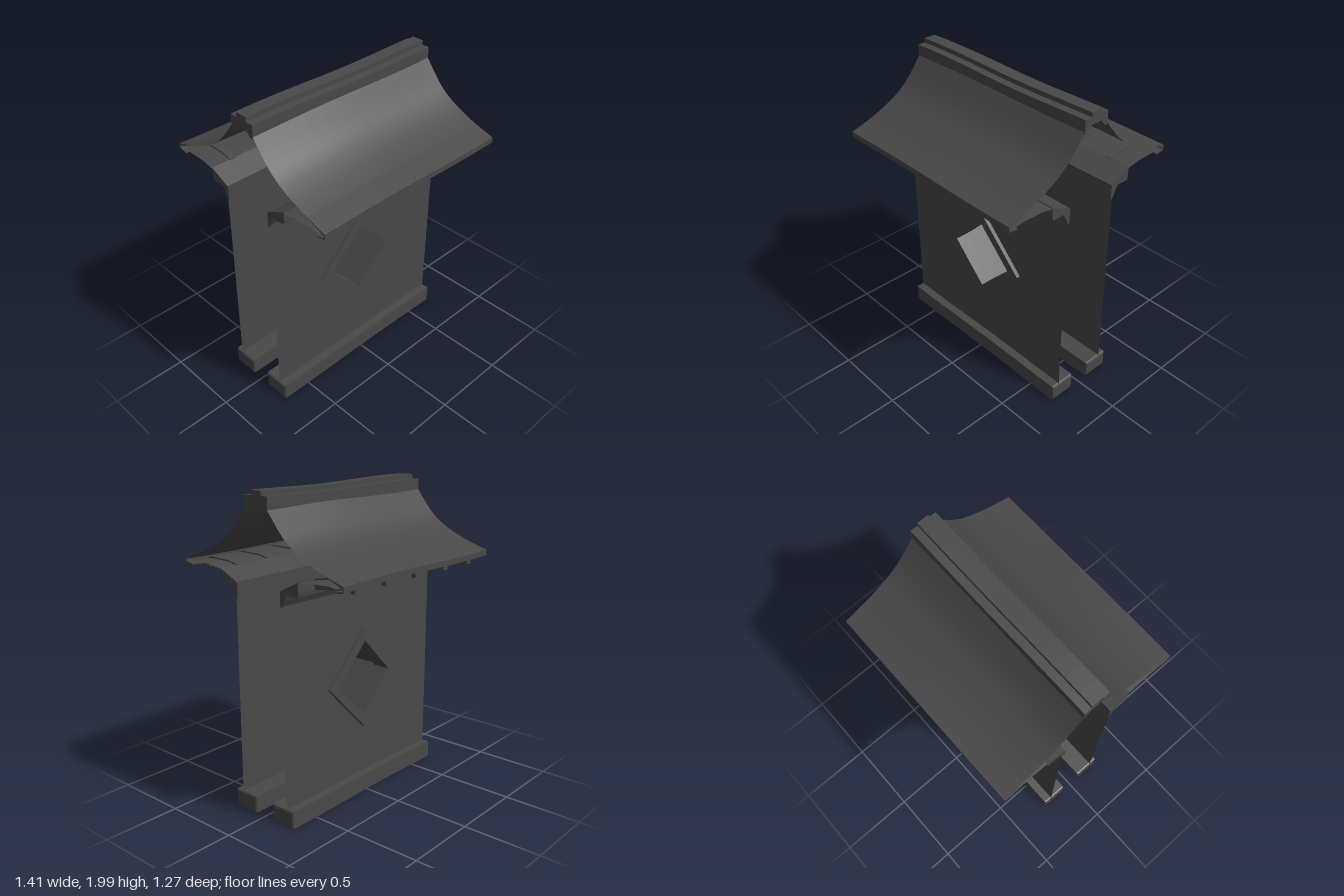
import * as THREE from 'three';

const WIDTH = 1.41;
const CY = 0.775; // height of the window centre
const mat = new THREE.MeshStandardMaterial({ color: 0x484848, flatShading: true });
const sheetMat = new THREE.MeshStandardMaterial({ color: 0x484848, side: THREE.DoubleSide });

function add(parent, name, geometry, material = mat) {
  const mesh = new THREE.Mesh(geometry, material);
  mesh.name = name;
  parent.add(mesh);
  return mesh;
}

// Slight hand-made sag along the length
function sag(geometry, amount, phase = 0) {
  const p = geometry.attributes.position;
  for (let i = 0; i < p.count; i++) {
    p.setY(i, p.getY(i) + amount * Math.sin(p.getX(i) * 5.2 + phase));
  }
  geometry.computeVertexNormals();
  return geometry;
}

// Solid bar along x from a [z, y] cross-section
function bar(profile, length = WIDTH, steps = 1, bevel = 0) {
  const shape = new THREE.Shape(profile.map(([z, y]) => new THREE.Vector2(-z, y)));
  const g = new THREE.ExtrudeGeometry(shape, {
    depth: length - 2 * bevel, steps, bevelEnabled: bevel > 0,
    bevelSize: bevel, bevelThickness: bevel, bevelOffset: -bevel, bevelSegments: 2,
  });
  g.translate(0, 0, -(length - 2 * bevel) / 2);
  return g.rotateY(Math.PI / 2);
}

// Thin sheet along x from an open line of [z, y] points
function sheet(points, steps = 12) {
  const g = new THREE.PlaneGeometry(WIDTH, 1, steps, points.length - 1);
  const p = g.attributes.position;
  for (let i = 0; i < p.count; i++) {
    const [z, y] = points[Math.floor(i / (steps + 1))];
    p.setY(i, y);
    p.setZ(i, z);
  }
  g.computeVertexNormals();
  return g;
}

function diamond(r, Type = THREE.Path) {
  return new Type([[r, 0], [0, r], [-r, 0], [0, -r]].map(([x, y]) => new THREE.Vector2(x, CY + y)));
}

function createHalf() {
  const half = new THREE.Group();

  // Wall face with its window opening
  const wall = new THREE.Shape([[-0.7, 0.06], [0.7, 0.06], [0.7, 1.45], [-0.7, 1.45]]
    .map(([x, y]) => new THREE.Vector2(x, y)));
  wall.holes.push(diamond(0.29));
  add(half, 'wall', new THREE.ShapeGeometry(wall), sheetMat).position.z = 0.19;

  // Window frame
  const frame = diamond(0.33, THREE.Shape);
  frame.holes.push(diamond(0.247));
  add(half, 'windowFrame', new THREE.ExtrudeGeometry(frame, { depth: 0.115, bevelEnabled: false }))
    .position.z = 0.1;

  // Footing beam
  const base = bar([[0.245, 0.008], [0.07, 0.008], [0.07, 0.12], [0.245, 0.12]], WIDTH, 12, 0.014);
  add(half, 'footingBeam', sag(base, 0.003, 1));

  // Cornice: sloped lower moulding and stepped upper beam
  add(half, 'lowerCornice', sag(bar(
    [[0.185, 1.36], [0.175, 1.36], [0.175, 1.46], [0.225, 1.46], [0.225, 1.44]], WIDTH, 12), 0.002));
  add(half, 'upperCornice', sag(bar(
    [[0.31, 1.44], [0.2, 1.44], [0.18, 1.46], [0.315, 1.525], [0.315, 1.465]], WIDTH, 12), 0.002));

  // Rafters with a small block under each tip
  for (const x of [-0.55, -0.28, 0, 0.29, 0.55]) {
    const rafter = bar([[0.575, 1.51], [0.45, 1.478], [0.31, 1.465], [0.31, 1.525],
      [0.4, 1.542], [0.55, 1.545], [0.58, 1.535]], 0.045);
    add(half, 'rafter', rafter).position.x = x;
    const tip = add(half, 'rafterTip', new THREE.BoxGeometry(0.045, 0.045, 0.03));
    tip.position.set(x, 1.503, 0.589);
  }

  // Boarding under the eave
  add(half, 'soffit', sheet([[0.59, 1.53], [0.54, 1.537], [0.4, 1.533], [0.31, 1.517]]), sheetMat);

  // Concave roof slope
  const curve = new THREE.SplineCurve([[0.07, 1.925], [0.2, 1.765], [0.32, 1.675], [0.48, 1.603], [0.637, 1.553]]
    .map(([z, y]) => new THREE.Vector2(z, y)));
  const slope = curve.getPoints(16).map((v) => [v.x, v.y]);
  add(half, 'roofSlope', sag(sheet(slope), 0.004, 2.6), sheetMat);

  // Eave lip: tapering edge above, turned-under strip below
  add(half, 'eaveEdge', sag(bar(
    [[0.637, 1.538], [0.58, 1.562], [0.48, 1.602], [0.637, 1.553]], WIDTH, 12), 0.004, 2.6));
  add(half, 'eaveUnderside', sag(bar(
    [[0.637, 1.518], [0.575, 1.508], [0.575, 1.516], [0.63, 1.526], [0.63, 1.545], [0.637, 1.545]],
    WIDTH, 12), 0.004, 2.6));
  return half;
}

export function createModel() {
  const model = new THREE.Group();
  model.name = 'roofedWall';

  // The back repeats the front, turned half way round
  const front = createHalf();
  front.name = 'frontSide';
  const back = front.clone();
  back.name = 'backSide';
  back.rotation.y = Math.PI;
  model.add(front, back);

  // Lining of the window passage
  const lining = new THREE.CylinderGeometry(0.286, 0.286, 0.2, 4, 1, true).rotateX(Math.PI / 2);
  const liningMat = sheetMat.clone();
  liningMat.flatShading = true;
  add(model, 'windowLining', lining, liningMat).position.y = CY;

  // Stepped ridge beam
  const right = [[0.04, 1.92], [0.07, 1.88], [0.09, 1.88], [0.09, 1.966], [0.04, 1.966], [0.04, 1.995]];
  const left = right.map(([z, y]) => [-z, y]).reverse();
  add(model, 'ridge', sag(bar([...right, ...left], WIDTH, 14), 0.005, 3.9));
  return model;
}
